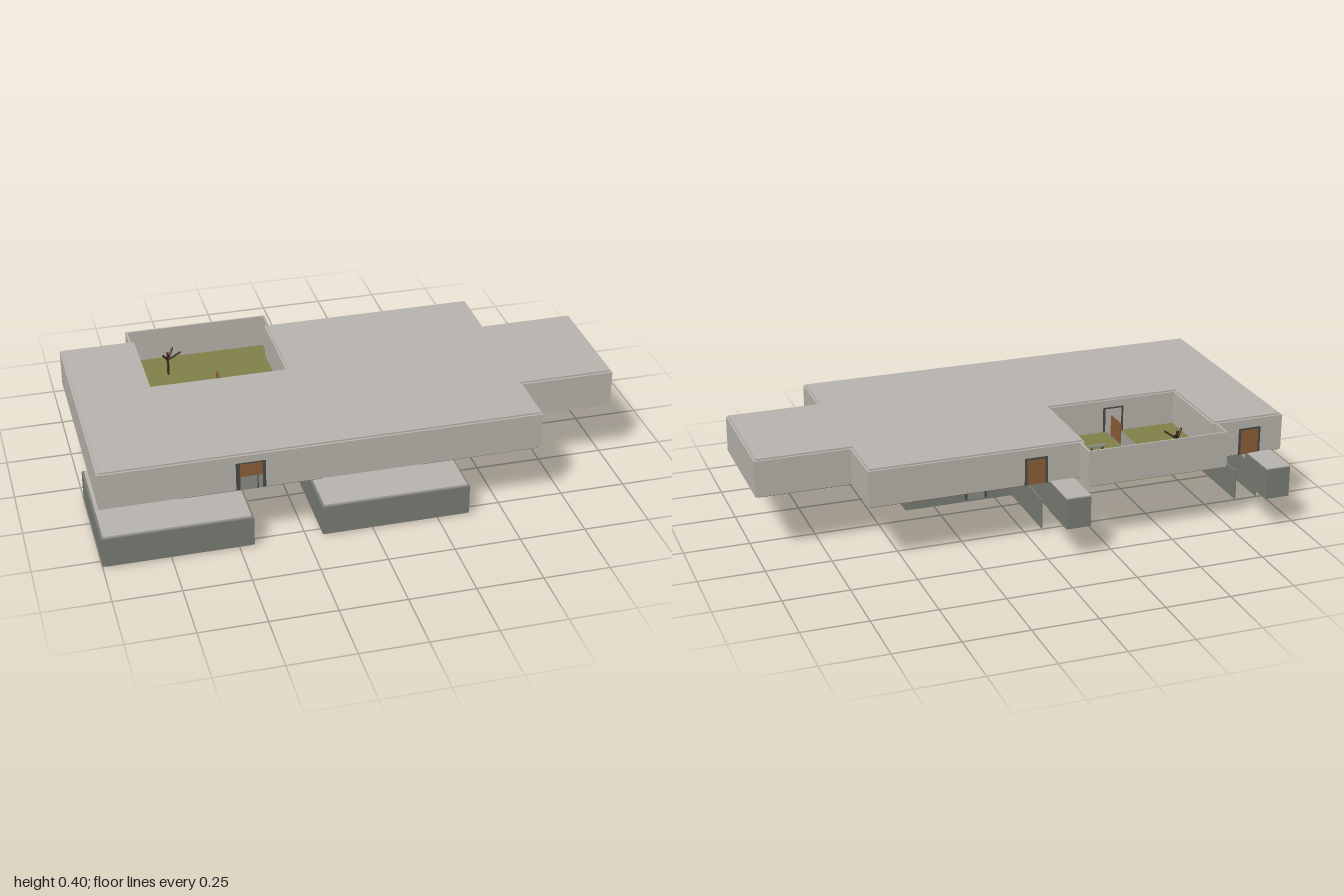
import * as THREE from 'three';

const mat = (name, color) => {
  const m = new THREE.MeshStandardMaterial({ color });
  m.name = name;
  return m;
};

export function createModel() {
  const model = new THREE.Group();
  const wall = mat('pale wall', 0xbab7ae);
  const roof = mat('roof', 0xb9b5af);
  const stone = mat('dark stone', 0x7b7e76);
  const grass = mat('grass', 0x82824a);
  const wood = mat('wood floor', 0x7a5238);
  const door = mat('door wood', 0x8c6038);
  const frame = mat('frame', 0x4a4c48);
  const bark = mat('bark', 0x4a2c1c);
  const path = mat('path', 0x8e8f88);

  // Box given by its limits on each axis
  const box = (name, m, x0, x1, y0, y1, z0, z1, parent = model) => {
    const mesh = new THREE.Mesh(new THREE.BoxGeometry(x1 - x0, y1 - y0, z1 - z0), m);
    mesh.position.set((x0 + x1) / 2, (y0 + y1) / 2, (z0 + z1) / 2);
    mesh.name = name;
    parent.add(mesh);
    return mesh;
  };

  // Plan outline of the upper floor with a notch for the courtyard; i insets it
  const plan = (name, m, y0, y1, i) => {
    const pts = [
      [-1 + i, 0.545 - i], [0.64 - i, 0.545 - i], [0.64 - i, 0.32 - i], [1 - i, 0.32 - i],
      [1 - i, -0.15 + i], [0.64 - i, -0.15 + i], [0.64 - i, -0.375 + i], [-0.19 + i, -0.375 + i],
      [-0.19 + i, -0.015 + i], [-0.71 - i, -0.015 + i], [-0.71 - i, -0.375 + i], [-1 + i, -0.375 + i],
    ];
    const shape = new THREE.Shape(pts.map(([x, z]) => new THREE.Vector2(x, -z)));
    const geo = new THREE.ExtrudeGeometry(shape, { depth: y1 - y0, bevelEnabled: false });
    geo.rotateX(-Math.PI / 2);
    const mesh = new THREE.Mesh(geo, m);
    mesh.position.y = y0;
    mesh.name = name;
    model.add(mesh);
  };
  plan('upperFloorWalls', wall, 0.25, 0.39, 0);
  plan('upperRoof', roof, 0.39, 0.396, 0.008);
  plan('upperWoodFloor', wood, 0.245, 0.25, 0.008);

  // Grey ceilings under the upper floor
  box('undersidePanel', stone, 0.18, 0.632, 0.243, 0.246, 0.08, 0.537);
  box('undersidePanel', stone, -0.71, -0.19, 0.243, 0.246, -0.012, 0.537);

  // Courtyard: lawn and the thin walls round its back
  box('courtyardLawn', grass, -0.72, -0.18, 0.246, 0.26, -0.46, -0.015);
  box('courtyardBackWall', wall, -0.73, -0.17, 0.25, 0.39, -0.465, -0.458);
  box('courtyardSideWall', wall, -0.73, -0.722, 0.25, 0.39, -0.458, -0.375);
  box('courtyardSideWall', wall, -0.178, -0.17, 0.25, 0.39, -0.458, -0.375);
  box('gardenPath', path, -0.485, -0.425, 0.26, 0.263, -0.23, -0.015);
  box('gardenPanel', door, -0.433, -0.427, 0.263, 0.345, -0.15, -0.06);

  // Garden bench
  const bench = new THREE.Group();
  bench.name = 'gardenBench';
  model.add(bench);
  box('benchSeat', path, -0.35, -0.285, 0.28, 0.286, -0.197, -0.18, bench);
  for (const x of [-0.343, -0.298]) box('benchLeg', frame, x, x + 0.006, 0.26, 0.28, -0.194, -0.183, bench);

  // Bare tree
  const tree = new THREE.Group();
  tree.name = 'bareTree';
  tree.position.set(-0.59, 0.26, -0.32);
  model.add(tree);
  const limb = (name, a, b, r) => {
    const curve = new THREE.LineCurve3(new THREE.Vector3(...a), new THREE.Vector3(...b));
    const mesh = new THREE.Mesh(new THREE.TubeGeometry(curve, 1, r, 6), bark);
    mesh.name = name;
    tree.add(mesh);
  };
  limb('trunk', [0, 0, 0], [0, 0.1, 0], 0.005);
  for (const [x, z] of [[-0.025, 0.02], [0.025, -0.03], [0.05, 0.012]]) {
    limb('branch', [0, 0.065, 0], [x, 0.1, z], 0.004);
  }

  // Front entrance
  const entry = new THREE.Group();
  entry.name = 'frontEntrance';
  model.add(entry);
  box('entryFrame', frame, -0.507, -0.398, 0.25, 0.361, 0.545, 0.546, entry);
  box('entryOpening', path, -0.492, -0.41, 0.25, 0.305, 0.546, 0.547, entry);
  box('entryUpperPanel', door, -0.492, -0.41, 0.305, 0.356, 0.546, 0.547, entry);
  box('entryPost', frame, -0.43, -0.426, 0.25, 0.305, 0.547, 0.548, entry);

  // Door on a back-facing wall at depth z
  const backDoor = (name, panel, x, y0, y1, z) => {
    const g = new THREE.Group();
    g.name = name;
    model.add(g);
    box('doorFrame', frame, x - 0.045, x + 0.045, y0, y1, z - 0.002, z, g);
    box('doorPanel', panel, x - 0.035, x + 0.035, y0, y1 - 0.008, z - 0.004, z - 0.002, g);
  };
  backDoor('upperBackDoor', door, 0, 0.25, 0.355, -0.375);
  backDoor('upperBackDoor', door, -0.865, 0.25, 0.355, -0.375);
  backDoor('lowerBackDoor', path, 0.08, 0.012, 0.11, 0.078);
  backDoor('lowerBackDoor', path, -0.745, 0.012, 0.11, 0.078);
  // Courtyard doorway
  box('courtyardDoorFrame', frame, -0.497, -0.413, 0.26, 0.361, -0.017, -0.015);
  box('courtyardDoor', wall, -0.488, -0.422, 0.26, 0.355, -0.019, -0.017);

  // Lower blocks
  for (const [x0, x1] of [[-1, -0.445], [-0.19, 0.37]]) {
    box('lowerBlock', stone, x0, x1, 0.007, 0.122, 0.078, 0.545);
    box('lowerBlockRoof', roof, x0 + 0.008, x1 - 0.008, 0.122, 0.128, 0.086, 0.537);
    box('lowerBlockBase', stone, x0 + 0.008, x1 - 0.008, 0, 0.007, 0.086, 0.537);
  }
  box('lowerDoorHead', stone, 0.03, 0.14, 0.122, 0.137, 0.078, 0.1);

  // Passage walls and covered stairs behind each lower block
  const steps = 9;
  for (const x0 of [-0.955, -0.15]) {
    const x1 = x0 + 0.095;
    const stair = new THREE.Group();
    stair.name = 'coveredStair';
    model.add(stair);
    for (const x of [x0, x1 - 0.006]) {
      box('passageWall', stone, x, x + 0.006, 0.022, 0.139, -0.285, 0.1, stair);
      box('stairSideWall', stone, x, x + 0.006, 0.13, 0.25, -0.545, -0.36, stair);
    }
    box('stairBackWall', stone, x0, x1, 0.13, 0.25, -0.545, -0.54, stair);
    box('stairRoof', roof, x0, x1, 0.248, 0.253, -0.545, -0.376, stair);
    const rise = 0.116 / steps, run = 0.178 / steps;
    for (let i = 0; i < steps; i++) {
      const y = 0.131 + i * rise, z = -0.362 - i * run;
      box('stairTread', stone, x0 + 0.006, x1 - 0.006, y + rise - 0.004, y + rise, z - run, z, stair);
      box('stairRiser', frame, x0 + 0.006, x1 - 0.006, y, y + rise - 0.004, z - 0.006, z - 0.003, stair);
    }
  }
  return model;
}
